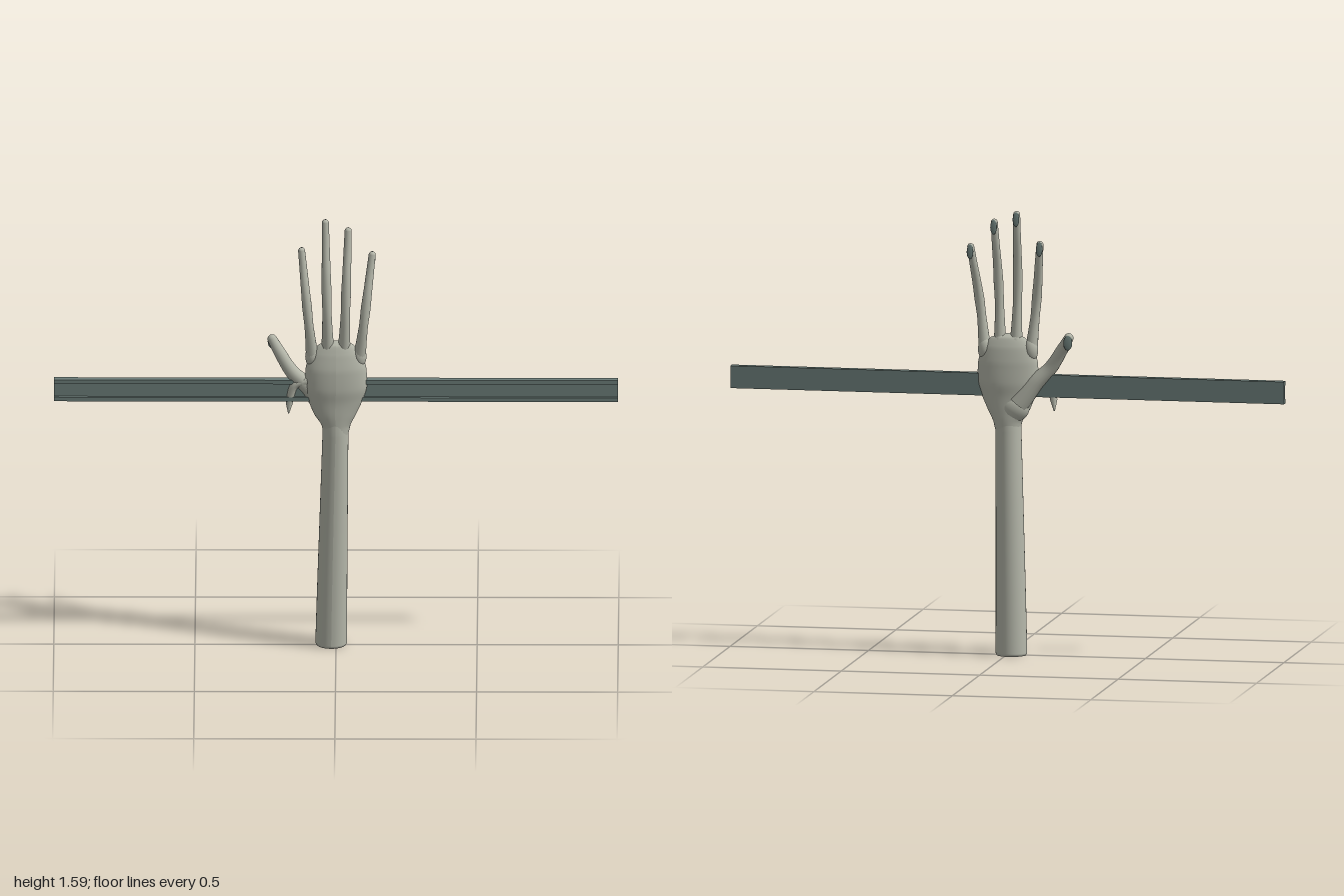
import * as THREE from 'three';

const skin = new THREE.MeshStandardMaterial({ color: 0xb4b6a9 });
skin.name = 'pale stone';
const slate = new THREE.MeshStandardMaterial({ color: 0x6b7c78 });
slate.name = 'slate green';

const v = (x, y, z) => new THREE.Vector3(x, y, z);

function add(parent, geometry, material, name) {
  const mesh = new THREE.Mesh(geometry, material);
  mesh.name = name;
  parent.add(mesh);
  return mesh;
}

// Smooth upright body through elliptical sections [x, y, z, rx, rz]
function loft(sections, rows = 40, sides = 32) {
  const centre = new THREE.CatmullRomCurve3(sections.map(s => v(s[0], s[1], s[2])));
  const radius = new THREE.CatmullRomCurve3(sections.map(s => v(s[3], s[4], 0)));
  const geo = new THREE.CylinderGeometry(1, 1, 1, sides, rows, true);
  const p = geo.attributes.position;
  for (let i = 0; i < p.count; i++) {
    const t = p.getY(i) + 0.5;
    const c = centre.getPoint(t), r = radius.getPoint(t);
    p.setXYZ(i, c.x + p.getX(i) * r.x, c.y, c.z + p.getZ(i) * r.y);
  }
  geo.computeVertexNormals();
  return geo;
}

// Tube whose radius follows evenly spaced values along its length
function taperedTube(points, radii, rows = 28, sides = 14) {
  const curve = new THREE.CatmullRomCurve3(points);
  const geo = new THREE.TubeGeometry(curve, rows, 1, sides);
  const p = geo.attributes.position;
  const a = v(0, 0, 0);
  for (let i = 0; i < p.count; i++) {
    const u = Math.floor(i / (sides + 1)) / rows;
    const f = u * (radii.length - 1);
    const k = Math.min(Math.floor(f), radii.length - 2);
    const r = THREE.MathUtils.lerp(radii[k], radii[k + 1], f - k);
    const c = curve.getPointAt(u);
    a.fromBufferAttribute(p, i).sub(c).multiplyScalar(r).add(c);
    p.setXYZ(i, a.x, a.y, a.z);
  }
  return geo;
}

function ball(parent, centre, size, material, name) {
  const mesh = add(parent, new THREE.SphereGeometry(1, 20, 14), material, name);
  mesh.position.copy(centre);
  mesh.scale.copy(size);
  return mesh;
}

// Rounded fingertip with a nail hanging on its back
function fingertip(parent, tip, r) {
  ball(parent, tip, v(r, r, r), skin, 'fingertip');
  const nail = ball(parent, v(tip.x, tip.y - 0.016, tip.z - r - 0.001),
    v(r * 0.95, 0.026, 0.004), slate, 'nail');
  nail.rotation.x = 0.08;
}

export function createModel() {
  const model = new THREE.Group();
  model.name = 'handOnCrossbar';

  // Crossbar: channel section open to the front
  const section = new THREE.Shape([
    [0.004, 0.925], [0.033, 0.925], [0.033, 0.94], [0.022, 0.94],
    [0.022, 0.99], [0.033, 0.99], [0.033, 1.005], [0.004, 1.005],
  ].map(([z, y]) => new THREE.Vector2(z, y)));
  const bar = new THREE.ExtrudeGeometry(section, { depth: 2, bevelEnabled: false });
  bar.rotateY(-Math.PI / 2).translate(1, 0, 0);
  add(model, bar, slate, 'crossbar');

  // Forearm with a softened lower rim
  add(model, loft([
    [-0.017, 0, -0.005, 0.052, 0.051],
    [-0.017, 0.01, -0.005, 0.056, 0.055],
    [-0.013, 0.25, 0.002, 0.053, 0.053],
    [-0.007, 0.55, 0.011, 0.049, 0.05],
    [-0.002, 0.8, 0.018, 0.046, 0.047],
    [-0.001, 0.85, 0.018, 0.046, 0.045],
  ]), skin, 'forearm');
  const base = add(model, new THREE.CircleGeometry(1, 32), skin, 'forearmBase');
  base.rotation.x = Math.PI / 2;
  base.scale.set(0.052, 0.051, 1);
  base.position.set(-0.017, 0, -0.005);

  const hand = new THREE.Group();
  hand.name = 'hand';
  model.add(hand);

  // Palm
  add(hand, loft([
    [0, 0.8, 0.018, 0.044, 0.044],
    [0, 0.835, 0.017, 0.052, 0.046],
    [-0.003, 0.875, 0.018, 0.075, 0.047],
    [-0.002, 0.925, 0.019, 0.096, 0.047],
    [0, 0.98, 0.02, 0.11, 0.05],
    [0, 1.045, 0.02, 0.108, 0.046],
    [0, 1.1, 0.018, 0.09, 0.035],
    [0, 1.135, 0.018, 0.06, 0.022],
    [0, 1.15, 0.018, 0.002, 0.002],
  ], 48), skin, 'palm');
  ball(hand, v(-0.025, 0.885, 0.002), v(0.056, 0.05, 0.036), skin, 'heelOfHand');

  // Fingers: base x, base y, tip x, tip y
  const fingers = [
    ['indexFinger', -0.083, 1.08, -0.122, 1.475],
    ['middleFinger', -0.029, 1.1, -0.038, 1.58],
    ['ringFinger', 0.028, 1.1, 0.043, 1.55],
    ['littleFinger', 0.082, 1.08, 0.128, 1.46],
  ];
  const arc = [[0, 0.018], [0.35, 0.03], [0.6, 0.021], [0.85, -0.003], [1, -0.015]];
  for (const [name, x0, y0, x1, y1] of fingers) {
    const finger = new THREE.Group();
    finger.name = name;
    hand.add(finger);
    const path = arc.map(([t, z]) => v(x0 + (x1 - x0) * t, y0 + (y1 - y0) * t, z));
    add(finger, taperedTube(path, [0.024, 0.019, 0.016, 0.0175, 0.0155, 0.014, 0.0125]), skin, 'fingerBody');
    ball(finger, v(x0, y0 + 0.01, 0.018), v(0.026, 0.042, 0.025), skin, 'knuckle');
    fingertip(finger, path[4], 0.0125);
  }

  // Thumb sweeping out from the heel of the hand
  const thumb = new THREE.Group();
  thumb.name = 'thumb';
  hand.add(thumb);
  const thumbPath = [v(-0.04, 0.9, 0), v(-0.1, 0.975, 0.008), v(-0.155, 1.03, 0.015),
    v(-0.197, 1.095, 0.004), v(-0.226, 1.143, -0.015)];
  add(thumb, taperedTube(thumbPath, [0.04, 0.036, 0.03, 0.026, 0.023, 0.021, 0.017]), skin, 'thumbBody');
  fingertip(thumb, thumbPath[4], 0.017);

  // Small spur at the thumb base, passing down through the bar
  add(thumb, taperedTube([v(-0.1, 1.0, 0.024), v(-0.145, 0.985, 0.024), v(-0.163, 0.93, 0.018), v(-0.168, 0.875, 0.016)],
    [0.016, 0.015, 0.014, 0.013, 0.002]), skin, 'thumbSpur');

  return model;
}
